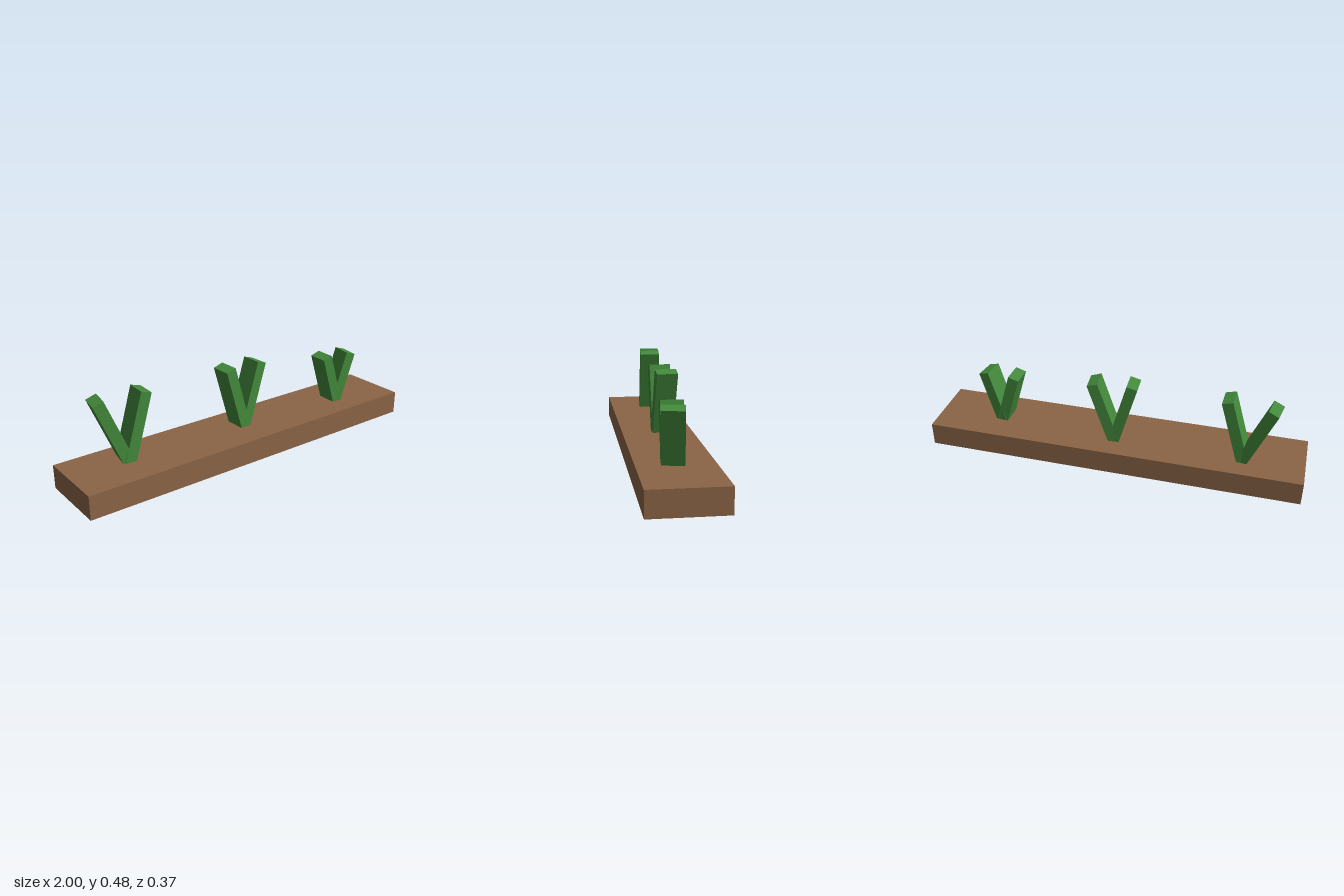
import * as THREE from 'three';

const soil = new THREE.MeshStandardMaterial({ color: 0x8b6546, side: THREE.DoubleSide });
soil.name = 'soilBrown';
const green = new THREE.MeshStandardMaterial({ color: 0x438a3c });
green.name = 'leafGreen';

const BED_HEIGHT = 0.125;
const rad = THREE.MathUtils.degToRad;

// Raised bed: a thin-walled box without its underside
function makeBed() {
  const geo = new THREE.BoxGeometry(2, BED_HEIGHT, 0.374);
  const index = Array.from(geo.index.array);
  index.splice(18, 6); // drop the bottom face
  geo.setIndex(index);
  geo.clearGroups();
  geo.translate(0, BED_HEIGHT / 2, 0);
  const bed = new THREE.Mesh(geo, soil);
  bed.name = 'bed';
  return bed;
}

// Leaf: a slab standing on its base, leaning by lean and turned by yaw (degrees)
function makeLeaf(name, length, lean, yaw) {
  const geo = new THREE.BoxGeometry(0.058, length, 0.11);
  geo.translate(0, length / 2, 0);
  const leaf = new THREE.Mesh(geo, green);
  leaf.name = name;
  leaf.rotation.set(0, rad(yaw), rad(lean));
  return leaf;
}

export function createModel() {
  const model = new THREE.Group();
  model.name = 'plantBed';
  model.add(makeBed());

  // Each sprout is a V of two leaves: [lean, yaw] for the -x leaf and the +x leaf
  const sprouts = [
    { name: 'sproutRight', x: -0.685, z: -0.036, length: 0.36, a: [22, -9.5], b: [-16.5, -2] },
    { name: 'sproutMiddle', x: 0.003, z: -0.026, length: 0.355, a: [16, 2.5], b: [-18, 4] },
    { name: 'sproutLeft', x: 0.64, z: 0.012, length: 0.288, a: [17, -2], b: [-17.3, -9] },
  ];
  for (const s of sprouts) {
    const sprout = new THREE.Group();
    sprout.name = s.name;
    sprout.position.set(s.x, BED_HEIGHT, s.z);
    sprout.add(makeLeaf('leafRight', s.length, ...s.a), makeLeaf('leafLeft', s.length, ...s.b));
    model.add(sprout);
  }
  return model;
}
